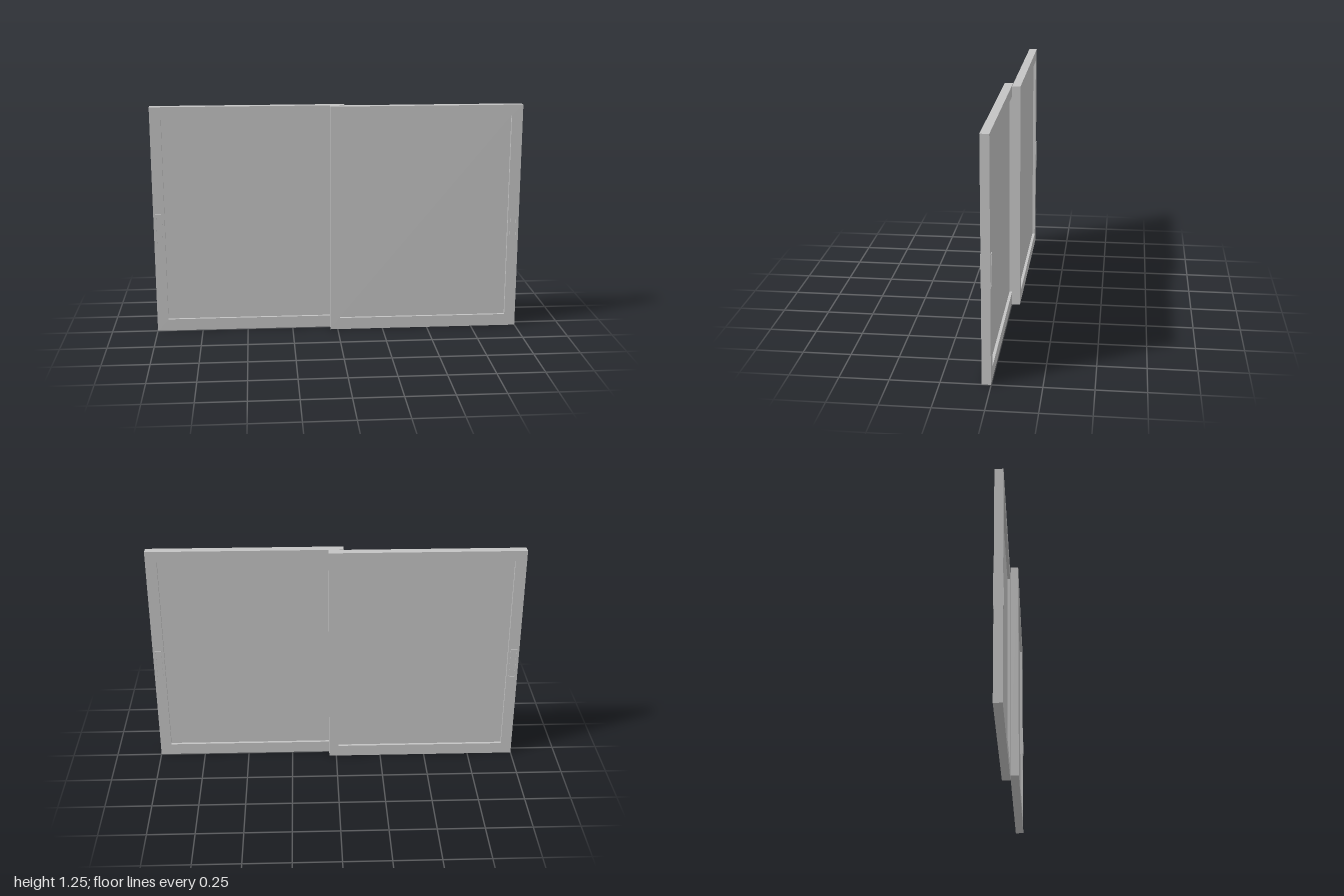
import * as THREE from 'three';

const HEIGHT = 1.252;
const DEPTH = 0.045;
const GAP = 0.001;

const grey = new THREE.MeshStandardMaterial({ color: 0xc4c4c4 });
grey.name = 'light grey';

function rectangle(path, x0, y0, x1, y1) {
  path.moveTo(x0, y0);
  path.lineTo(x1, y0);
  path.lineTo(x1, y1);
  path.lineTo(x0, y1);
  path.closePath();
  return path;
}

// Rectangular ring extruded along z; outer and inner are [x0, y0, x1, y1]
function addRing(parent, name, outer, inner, depth, z) {
  const outline = rectangle(new THREE.Shape(), ...outer);
  outline.holes.push(rectangle(new THREE.Path(), ...inner));
  const ring = new THREE.Mesh(
    new THREE.ExtrudeGeometry(outline, { depth, bevelEnabled: false }), grey);
  ring.name = name;
  ring.position.z = z;
  parent.add(ring);
}

// One sliding panel, occupying the front track on the +x side
function createPanel(name) {
  const panel = new THREE.Group();
  panel.name = name;

  addRing(panel, 'frame', [-0.04, 0, 1, HEIGHT], [0.011, 0.065, 0.94, 1.192], DEPTH, GAP);

  // Pane recessed on both sides
  const pane = new THREE.Mesh(new THREE.BoxGeometry(0.929, 1.127, 0.015), grey);
  pane.name = 'pane';
  pane.position.set(0.4755, 0.6285, GAP + DEPTH / 2);
  panel.add(pane);

  // Thin raised rims of the finger pulls on both faces of the outer stile
  const rimOuter = [0.953, 0.496, 0.989, 0.669];
  const rimInner = [0.958, 0.501, 0.984, 0.664];
  addRing(panel, 'frontPull', rimOuter, rimInner, 0.003, GAP + DEPTH);
  addRing(panel, 'backPull', rimOuter, rimInner, 0.003, GAP - 0.003);
  return panel;
}

export function createModel() {
  const model = new THREE.Group();
  model.name = 'slidingPanels';
  const front = createPanel('frontPanel');
  // The rear panel is the same part turned half round
  const rear = createPanel('rearPanel');
  rear.rotation.y = Math.PI;
  model.add(front, rear);
  return model;
}
